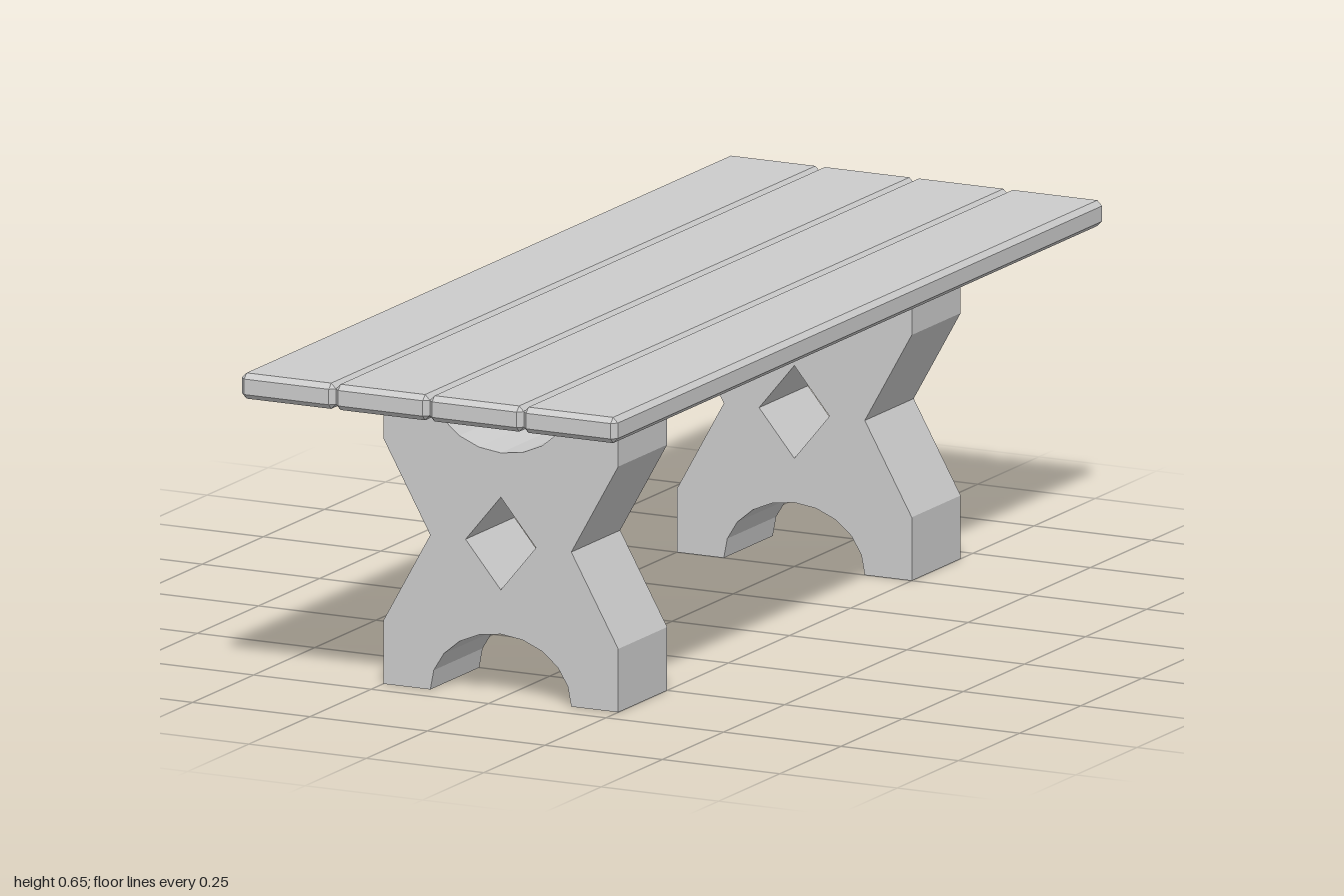
import * as THREE from 'three';
import { ConvexGeometry } from 'three/addons/geometries/ConvexGeometry.js';

const material = new THREE.MeshStandardMaterial({ color: 0xcccccc, flatShading: true });

// Box with every edge chamfered by b: each corner becomes three points.
function chamferedBox(w, h, d, b) {
  const points = [];
  for (const sx of [-1, 1]) for (const sy of [-1, 1]) for (const sz of [-1, 1]) {
    for (let axis = 0; axis < 3; axis++) {
      const p = [w / 2 - b, h / 2 - b, d / 2 - b];
      p[axis] += b;
      points.push(new THREE.Vector3(sx * p[0], sy * p[1], sz * p[2]));
    }
  }
  return new ConvexGeometry(points);
}

// X-shaped trestle outline with an arch at both ends and a diamond hole.
function trestleGeometry(height, depth) {
  const mid = height / 2;
  const outline = [];
  const arch = (base, dir) => {
    for (let i = 0; i <= 10; i++) {
      const a = (i / 10) * Math.PI;
      outline.push(new THREE.Vector2(dir * 0.15 * Math.cos(a), base + dir * 0.124 * Math.sin(a)));
    }
  };
  const side = (s) => {
    for (const [x, y] of [[0.25, -mid], [0.25, -0.177], [0.15, 0], [0.25, 0.177], [0.25, mid]]) {
      outline.push(new THREE.Vector2(s * x, mid + s * y));
    }
  };
  side(1);
  arch(height, -1);
  // The upper arch runs left to right, so reverse it to keep the outline going round.
  outline.push(...outline.splice(5).reverse());
  side(-1);
  const start = outline.length;
  arch(0, 1);
  outline.push(...outline.splice(start).reverse());

  const shape = new THREE.Shape(outline);
  shape.holes.push(new THREE.Path([
    new THREE.Vector2(0, mid + 0.09),
    new THREE.Vector2(0.075, mid),
    new THREE.Vector2(0, mid - 0.09),
    new THREE.Vector2(-0.075, mid),
  ]));
  return new THREE.ExtrudeGeometry(shape, { depth, bevelEnabled: false }).translate(0, 0, -depth / 2);
}

export function createModel() {
  const table = new THREE.Group();
  table.name = 'table';

  // Four planks side by side
  const top = new THREE.Group();
  top.name = 'tabletop';
  const plankGeometry = chamferedBox(0.2, 0.05, 2, 0.01);
  for (let i = 0; i < 4; i++) {
    const plank = new THREE.Mesh(plankGeometry, material);
    plank.name = `plank${i + 1}`;
    plank.position.set(-0.3 + i * 0.2, 0.625, 0);
    top.add(plank);
  }
  table.add(top);

  // Trestle legs at front and back
  const legGeometry = trestleGeometry(0.6, 0.2);
  for (const [name, z] of [['frontLeg', 0.6], ['backLeg', -0.6]]) {
    const leg = new THREE.Mesh(legGeometry, material);
    leg.name = name;
    leg.position.z = z;
    table.add(leg);
  }
  return table;
}
